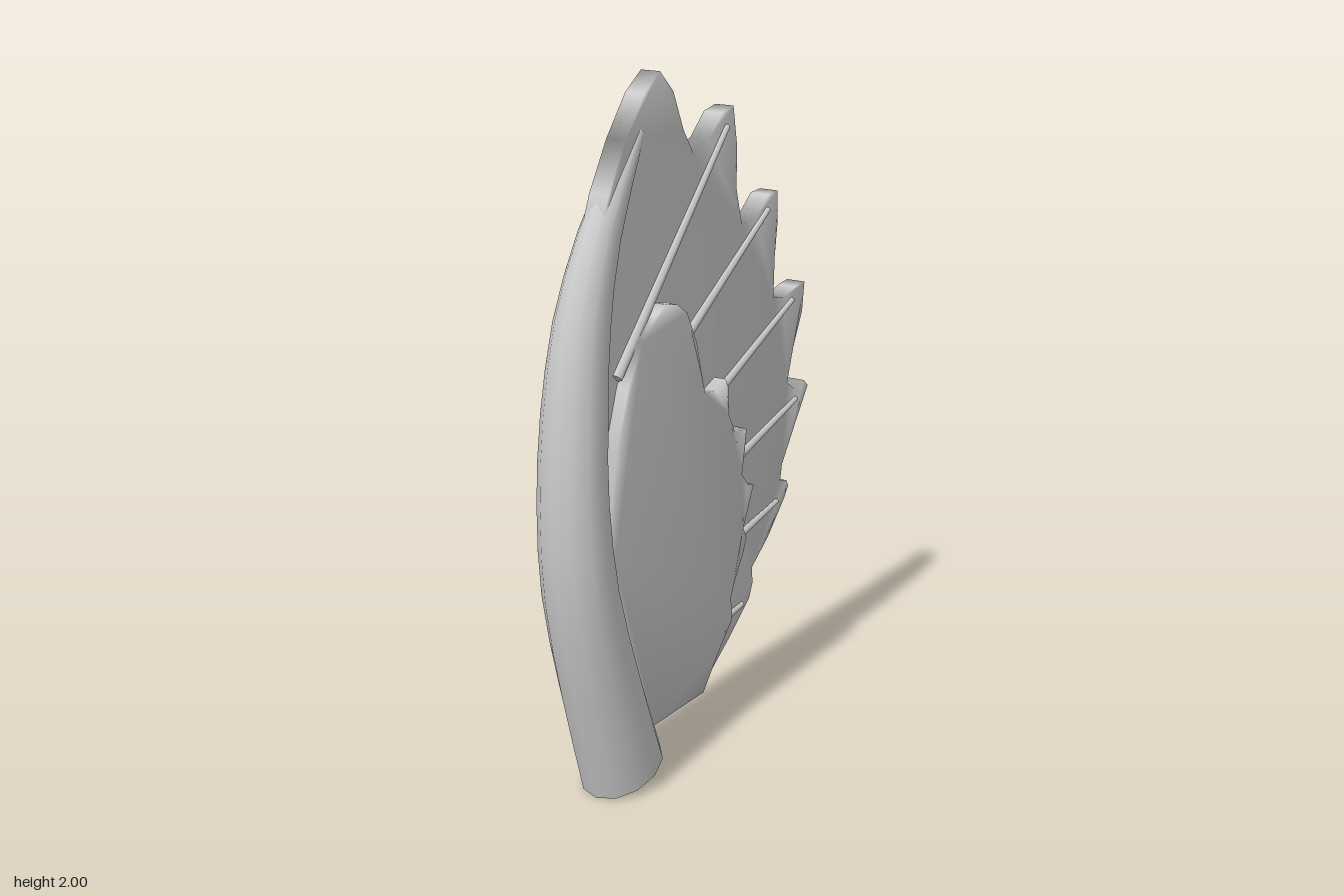
import * as THREE from 'three';
import { mergeVertices, toCreasedNormals } from 'three/addons/utils/BufferGeometryUtils.js';

const material = new THREE.MeshStandardMaterial({ color: 0xcccccc });

// Flat slab cut from a [z, y] outline, with normals blended softly round its rim
function featherLayer(name, outline, thickness) {
  const shape = new THREE.Shape(outline.map(([z, y]) => new THREE.Vector2(-z, y)));
  let geo = new THREE.ExtrudeGeometry(shape, { depth: thickness, bevelEnabled: false });
  geo.translate(0, 0, -thickness / 2).rotateY(Math.PI / 2);
  geo.deleteAttribute('normal');
  geo.deleteAttribute('uv');
  geo = mergeVertices(geo, 1e-4);
  geo.computeVertexNormals();
  const mesh = new THREE.Mesh(geo, material);
  mesh.name = name;
  return mesh;
}

// Tapered, curved bone: a cylinder bent along a spine with changing radii
function leadingEdge() {
  // z, y, radius in the wing plane, radius across it
  const stations = [
    [0.34, 0.048, 0.136, 0.112], [0.445, 0.35, 0.12, 0.11], [0.53, 0.64, 0.102, 0.107],
    [0.557, 0.9, 0.092, 0.099], [0.545, 1.14, 0.089, 0.09], [0.505, 1.38, 0.081, 0.075],
    [0.42, 1.6, 0.062, 0.056], [0.258, 1.853, 0.026, 0.034],
  ];
  const spine = new THREE.CatmullRomCurve3(stations.map(([z, y]) => new THREE.Vector3(0, y, z)));
  const radii = new THREE.CatmullRomCurve3(stations.map(([, , r, rx]) => new THREE.Vector3(rx, 0, r)));
  let geo = new THREE.CylinderGeometry(1, 1, 1, 12, 14);
  const pos = geo.attributes.position;
  for (let i = 0; i < pos.count; i++) {
    const t = THREE.MathUtils.clamp(pos.getY(i) + 0.5, 0, 1);
    const c = spine.getPoint(t), d = spine.getTangent(t), r = radii.getPoint(t);
    const across = pos.getZ(i) * r.z;
    pos.setXYZ(i, pos.getX(i) * r.x, c.y - d.z * across, c.z + d.y * across);
  }
  geo.deleteAttribute('normal');
  geo.deleteAttribute('uv');
  geo = toCreasedNormals(mergeVertices(geo, 1e-4), 0.9);
  const mesh = new THREE.Mesh(geo, material);
  mesh.name = 'leadingEdgeBone';
  return mesh;
}

// Thin tapered shaft between two [z, y] points on the +x face
function quill(from, to, index) {
  const a = new THREE.Vector3(0.036, from[1], from[0]);
  const b = new THREE.Vector3(0.036, to[1], to[0]);
  const dir = b.clone().sub(a);
  const mesh = new THREE.Mesh(new THREE.CylinderGeometry(0.008, 0.016, dir.length(), 6), material);
  mesh.position.copy(a).add(b).multiplyScalar(0.5);
  mesh.quaternion.setFromUnitVectors(new THREE.Vector3(0, 1, 0), dir.normalize());
  mesh.name = `quill${index + 1}`;
  return mesh;
}

export function createModel() {
  const wing = new THREE.Group();
  wing.name = 'wing';
  wing.add(leadingEdge());

  // Long flight feathers, scalloped along the trailing edge
  wing.add(featherLayer('flightFeathers', [
    [0.27, 0.165], [-0.06, 0.165], [-0.2, 0.26], [-0.31, 0.345], [-0.33, 0.39], [-0.325, 0.44],
    [-0.42, 0.51], [-0.52, 0.61], [-0.54, 0.64], [-0.53, 0.66], [-0.49, 0.67], [-0.5, 0.72],
    [-0.57, 0.82], [-0.653, 0.935], [-0.63, 0.957], [-0.57, 0.945], [-0.525, 0.975], [-0.56, 1.08],
    [-0.61, 1.18], [-0.622, 1.27], [-0.57, 1.265], [-0.5, 1.245], [-0.435, 1.26], [-0.44, 1.38],
    [-0.455, 1.49], [-0.453, 1.578], [-0.4, 1.575], [-0.33, 1.52], [-0.25, 1.515], [-0.22, 1.62],
    [-0.22, 1.75], [-0.2, 1.86], [-0.14, 1.848], [-0.07, 1.785], [0.01, 1.757], [0.06, 1.83],
    [0.11, 1.94], [0.175, 2.0], [0.25, 1.95], [0.34, 1.84], [0.42, 1.71], [0.5, 1.52],
    [0.55, 1.3], [0.56, 0.95], [0.51, 0.6], [0.4, 0.3],
  ], 0.06));

  // Shorter, thicker covert feathers
  wing.add(featherLayer('covertFeathers', [
    [0.27, 0.165], [0.01, 0.165], [-0.08, 0.27], [-0.145, 0.335], [-0.15, 0.37], [-0.14, 0.41],
    [-0.165, 0.46], [-0.21, 0.53], [-0.23, 0.575], [-0.21, 0.61], [-0.24, 0.67], [-0.268, 0.73],
    [-0.235, 0.74], [-0.2, 0.78], [-0.215, 0.85], [-0.225, 0.915], [-0.16, 0.92], [-0.125, 0.985],
    [-0.12, 1.07], [-0.105, 1.095], [-0.05, 1.075], [0.005, 1.08], [0.02, 1.13], [0.05, 1.24],
    [0.1, 1.335], [0.15, 1.368], [0.2, 1.378], [0.25, 1.36], [0.32, 1.3], [0.39, 1.19],
    [0.45, 1.02], [0.475, 0.88], [0.46, 0.72], [0.4, 0.47],
  ], 0.134));

  // Quills fanning out towards the feather tips
  [
    [[0.4, 1.215], [-0.16, 1.81]],
    [[0.2, 1.16], [-0.39, 1.535]],
    [[0.1, 0.955], [-0.54, 1.233]],
    [[0.02, 0.75], [-0.57, 0.915]],
    [[0, 0.525], [-0.46, 0.615]],
    [[0, 0.315], [-0.26, 0.345]],
  ].forEach(([from, to], i) => wing.add(quill(from, to, i)));

  return wing;
}
